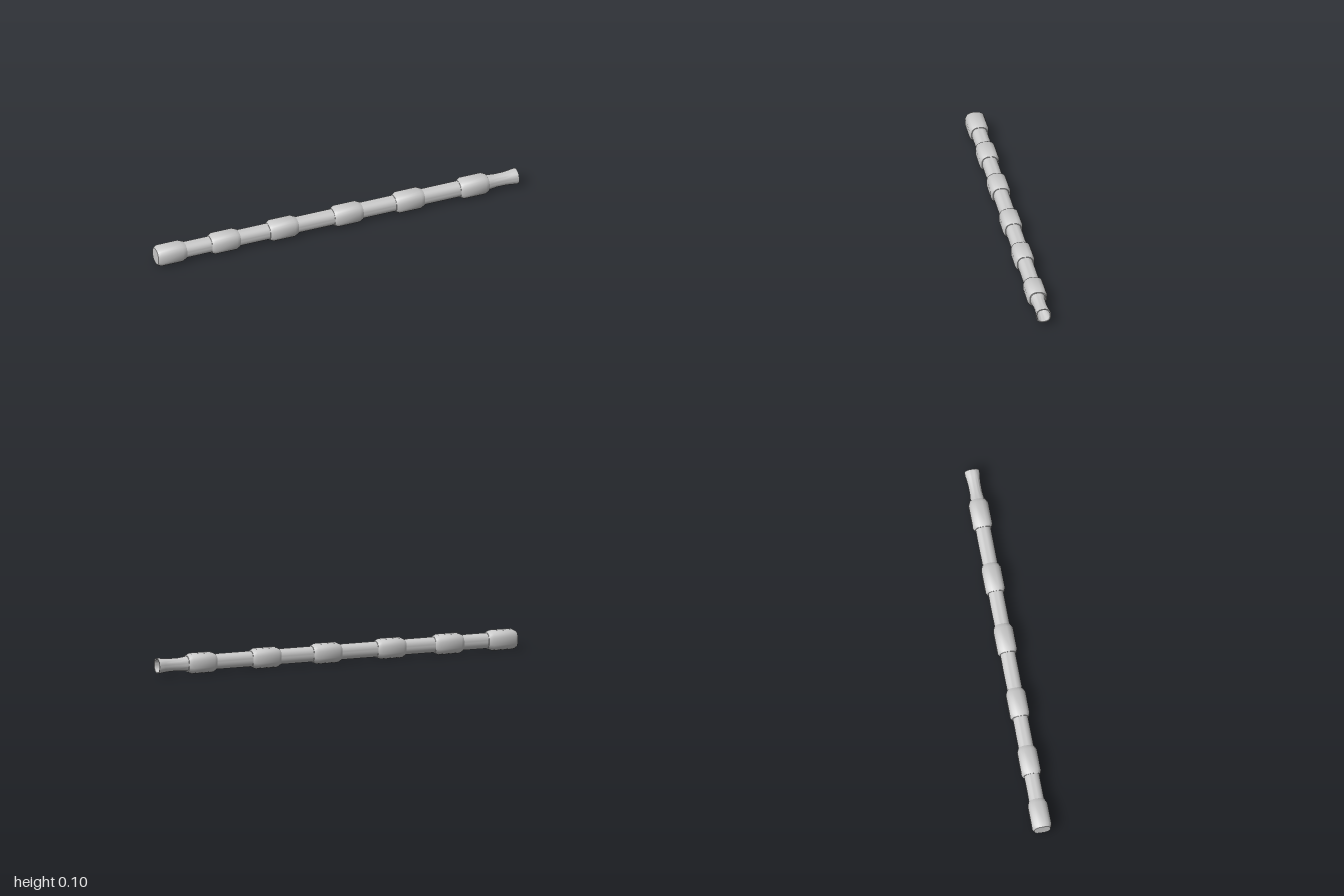
import * as THREE from 'three';
import { toCreasedNormals } from 'three/addons/utils/BufferGeometryUtils.js';

const AXIS_Y = 0.052;
const material = new THREE.MeshStandardMaterial({ color: 0xcccccc });

// Rounded-square sections of unit half-width, as [y, z] loops
const mirrorQuarter = (quarter) => {
  const loop = [];
  for (let k = 0; k < 4; k++) {
    const c = [1, 0, -1, 0][k], s = [0, 1, 0, -1][k];
    for (const [y, z] of quarter) loop.push([y * c - z * s, y * s + z * c]);
  }
  return loop;
};
const sleeveSection = mirrorQuarter([[1, -0.36], [1, 0.36], [0.86, 0.69], [0.69, 0.86]]);
const tubeSection = mirrorQuarter(Array.from({ length: 8 }, (_, i) => {
  const a = (i / 8) * Math.PI / 2, c = Math.cos(a), s = Math.sin(a);
  const r = (c ** 2.5 + s ** 2.5) ** (-1 / 2.5);
  return [r * c, r * s];
}));

// Sweeps a section along x through [x, radius] stations
function loft(name, section, stations) {
  const n = section.length, positions = [], index = [];
  for (const [x, r] of stations) {
    for (const [y, z] of section) positions.push(x, AXIS_Y + y * r, z * r);
  }
  for (let i = 0; i < stations.length - 1; i++) {
    for (let j = 0; j < n; j++) {
      const a = i * n + j, b = i * n + (j + 1) % n;
      if (stations[i][1] > 0) index.push(a, b, a + n);
      if (stations[i + 1][1] > 0) index.push(b, b + n, a + n);
    }
  }
  const geometry = new THREE.BufferGeometry();
  geometry.setAttribute('position', new THREE.Float32BufferAttribute(positions, 3));
  geometry.setIndex(index);
  const mesh = new THREE.Mesh(toCreasedNormals(geometry, 0.65), material);
  mesh.name = name;
  return mesh;
}

export function createModel() {
  const group = new THREE.Group();
  group.name = 'segmentedRod';

  // Long straight rod
  group.add(loft('rod', tubeSection, [[-0.98, 0], [-0.98, 0.04], [0.82, 0.04], [0.82, 0]]));

  // Waisted mouthpiece with a flared lip and a hollow tapering to a point
  group.add(loft('mouthpiece', tubeSection, [
    [0.82, 0.041], [0.85, 0.036], [0.88, 0.033], [0.93, 0.033], [0.965, 0.036],
    [0.985, 0.039], [1, 0.039], [1, 0.034], [0.985, 0.032], [0.94, 0.028], [0.86, 0],
  ]));

  // Evenly spaced grip sleeves with bevelled ends
  [-0.7, -0.378, -0.02, 0.32, 0.678].forEach((x, i) => {
    group.add(loft('sleeve' + (i + 1), sleeveSection, [
      [x, 0], [x, 0.042], [x + 0.018, 0.0515], [x + 0.135, 0.0515],
      [x + 0.157, 0.042], [x + 0.157, 0],
    ]));
  });

  // Closed end sleeve
  group.add(loft('endSleeve', sleeveSection, [
    [-1, 0], [-1, 0.042], [-0.982, 0.0515], [-0.865, 0.0515], [-0.84, 0.042], [-0.84, 0],
  ]));

  return group;
}
